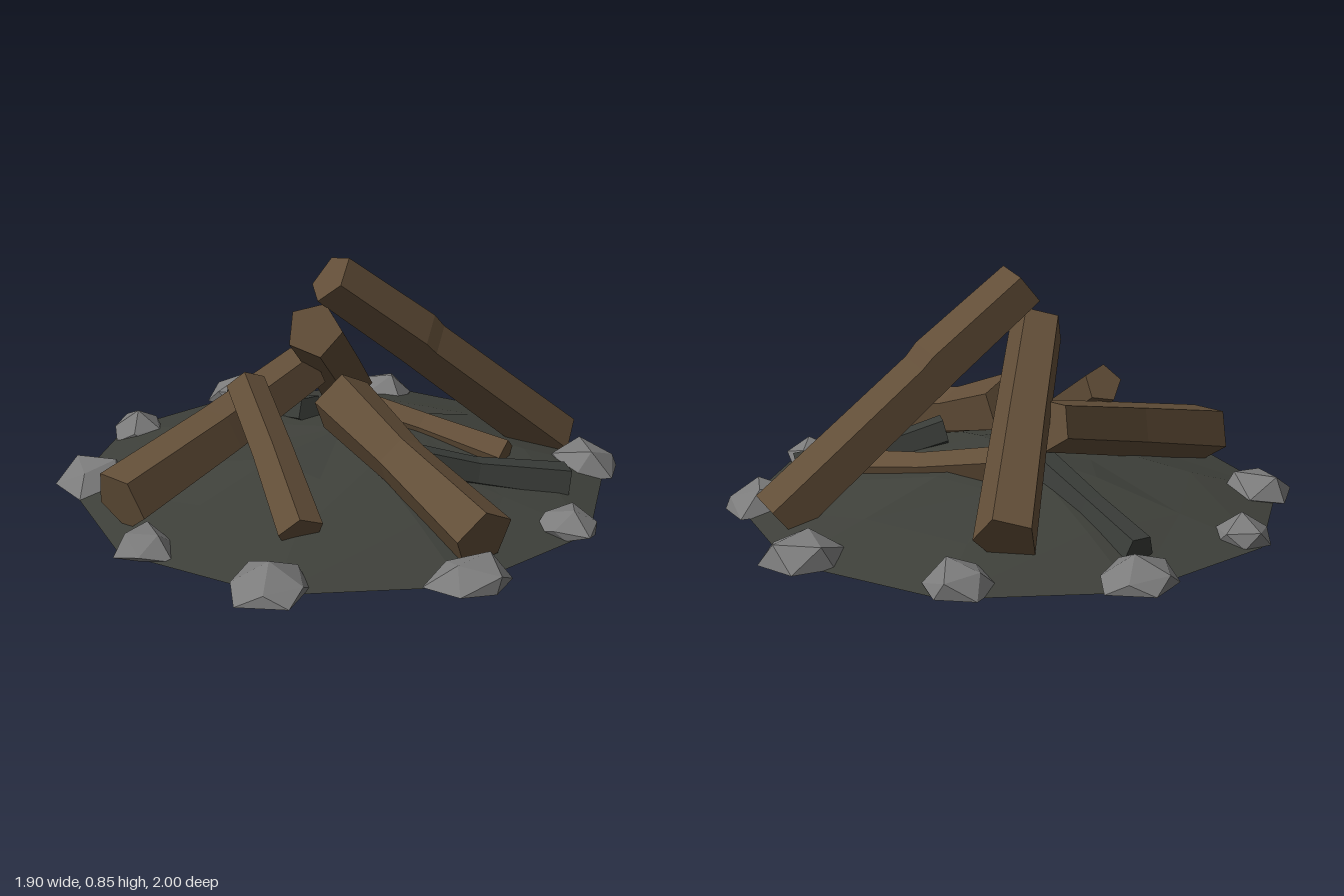
import * as THREE from 'three';

const mat = (name, color, extra = {}) =>
  Object.assign(new THREE.MeshStandardMaterial({ color, flatShading: true, ...extra }), { name });

// Faceted beam through rings of [x, y, z, radius], closed at both ends.
function beam(rings, roll = 0) {
  const sides = 5;
  const pts = rings.map(r => new THREE.Vector3(r[0], r[1], r[2]));
  const dir = pts[pts.length - 1].clone().sub(pts[0]).normalize();
  const side = dir.clone().cross(new THREE.Vector3(0, 1, 0)).normalize();
  const up = side.clone().cross(dir);
  const pos = [], idx = [];
  pts.forEach((p, i) => {
    for (let j = 0; j < sides; j++) {
      const a = roll + (j / sides) * Math.PI * 2;
      const v = p.clone().addScaledVector(side, Math.sin(a) * rings[i][3]).addScaledVector(up, Math.cos(a) * rings[i][3]);
      pos.push(v.x, v.y, v.z);
    }
  });
  const last = (pts.length - 1) * sides;
  for (let i = 0; i < pts.length - 1; i++) {
    for (let j = 0; j < sides; j++) {
      const k = (j + 1) % sides, a = i * sides, b = a + sides;
      idx.push(a + j, a + k, b + k, a + j, b + k, b + j);
    }
  }
  for (let j = 1; j < sides - 1; j++) idx.push(0, j + 1, j, last, last + j, last + j + 1);
  return finish(pos, idx);
}

function finish(pos, idx) {
  let g = new THREE.BufferGeometry();
  g.setAttribute('position', new THREE.Float32BufferAttribute(pos, 3));
  g.setIndex(idx);
  g = g.toNonIndexed();
  g.computeVertexNormals();
  return g;
}

// Open, shallow ten-sided cone of ash with an uneven middle ring.
function moundGeometry() {
  const n = 10, pos = [-0.02, 0.225, -0.02], idx = [];
  const rings = [[0.3, 0.178, 0.015], [0.62, 0.112, 0.01], [0.925, 0.04, 0]];
  rings.forEach(([r, y, bump], i) => {
    for (let j = 0; j < n; j++) {
      const a = (j + 0.5) / n * Math.PI * 2;
      const rr = r + bump * 2 * Math.sin(j * 2.3 + i);
      pos.push(-0.025 + Math.cos(a) * rr, y + bump * Math.sin(j * 3.7 + i), -0.02 + Math.sin(a) * rr);
    }
  });
  for (let j = 0; j < n; j++) {
    const k = (j + 1) % n;
    idx.push(0, 1 + k, 1 + j);
    for (let i = 0; i < rings.length - 1; i++) {
      const a = 1 + i * n, b = a + n;
      idx.push(a + j, a + k, b + k, a + j, b + k, b + j);
    }
  }
  return finish(pos, idx);
}

// Lumpy rock cut off at the ground and open underneath.
function stoneGeometry(rx, h, rz, seed) {
  const p = new THREE.IcosahedronGeometry(1, 0).rotateX(0.4 + seed * 0.7).rotateY(seed * 1.9).attributes.position;
  const pos = [], idx = [];
  for (let i = 0; i < p.count; i++) {
    const x = p.getX(i), y = p.getY(i), z = p.getZ(i);
    const s = 1 + 0.1 * Math.sin(x * 5 + y * 7 + z * 3 + seed * 2);
    const flare = y < 0 ? 1.1 : 1;
    pos.push(x * s * rx * flare, Math.max(0, y * s * h), z * s * rz * flare);
  }
  for (let i = 0; i < p.count; i += 3) {
    const top = Math.max(pos[i * 3 + 1], pos[i * 3 + 4], pos[i * 3 + 7]);
    if (top > 0) idx.push(i, i + 1, i + 2);
  }
  return finish(pos, idx);
}

export function createModel() {
  const group = new THREE.Group();
  const wood = mat('wood brown', 0x624e38);
  const ash = mat('ash grey', 0x3e403a, { side: THREE.DoubleSide });
  const charcoal = mat('charcoal', 0x393c38);
  const stone = mat('stone grey', 0x7c7c7c);
  const add = (name, geometry, material) => {
    const m = new THREE.Mesh(geometry, material);
    m.name = name;
    group.add(m);
    return m;
  };

  add('ashMound', moundGeometry(), ash);

  // Large logs leaning together
  const flat = Math.PI / 5;
  add('leftLog', beam([[-0.08, 0.775, 0.02, 0.092], [0.23, 0.535, 0.02, 0.1], [0.27, 0.495, 0.02, 0.095], [0.79, 0.07, 0.02, 0.104]], 0.35), wood);
  add('backLog', beam([[-0.155, 0.615, 0.06, 0.095], [0.06, 0.38, -0.3, 0.098], [0.265, 0.145, -0.65, 0.104]], 0.35), wood);
  add('frontLog', beam([[-0.06, 0.355, 0.06, 0.11], [0.01, 0.25, 0.38, 0.088], [0.09, 0.135, 0.81, 0.108]], 0.15), wood);
  add('rightLog', beam([[-0.85, 0.145, 0.11, 0.11], [-0.45, 0.255, -0.06, 0.1], [-0.06, 0.365, -0.25, 0.092]], flat), wood);

  // Small sticks
  add('rightStick', beam([[-0.36, 0.42, -0.04, 0.068], [-0.37, 0.27, 0.23, 0.07], [-0.39, 0.115, 0.51, 0.076]], 0.2), wood);
  add('leftStick', beam([[0.09, 0.235, -0.2, 0.06], [0.28, 0.185, 0.0, 0.055], [0.465, 0.135, 0.25, 0.065]]), wood);

  // Charred sticks half sunk in the ash
  add('frontCharredStick', beam([[0.09, 0.205, 0.31, 0.062], [0.3, 0.145, 0.35, 0.055], [0.6, 0.085, 0.42, 0.072]], flat), charcoal);
  add('backCharredStick', beam([[-0.13, 0.095, -0.77, 0.055], [-0.1, 0.15, -0.5, 0.05], [-0.05, 0.22, -0.22, 0.058]], flat), charcoal);

  // Ring of stones: x, z, half width, height, half depth
  [
    [-0.06, -0.89, 0.13, 0.1, 0.11], [0.445, -0.7, 0.12, 0.1, 0.13],
    [0.8, -0.305, 0.135, 0.1, 0.13], [0.785, 0.235, 0.125, 0.095, 0.13],
    [0.47, 0.68, 0.105, 0.09, 0.11], [0.0, 0.895, 0.14, 0.095, 0.115],
    [-0.575, 0.7, 0.13, 0.095, 0.13], [-0.83, 0.285, 0.1, 0.09, 0.105],
    [-0.82, -0.3, 0.122, 0.095, 0.135], [-0.545, -0.69, 0.095, 0.09, 0.095],
  ].forEach(([x, z, rx, h, rz], i) => {
    add('stone' + (i + 1), stoneGeometry(rx, h, rz, i + 1), stone).position.set(x, 0.04, z);
  });

  return group;
}
